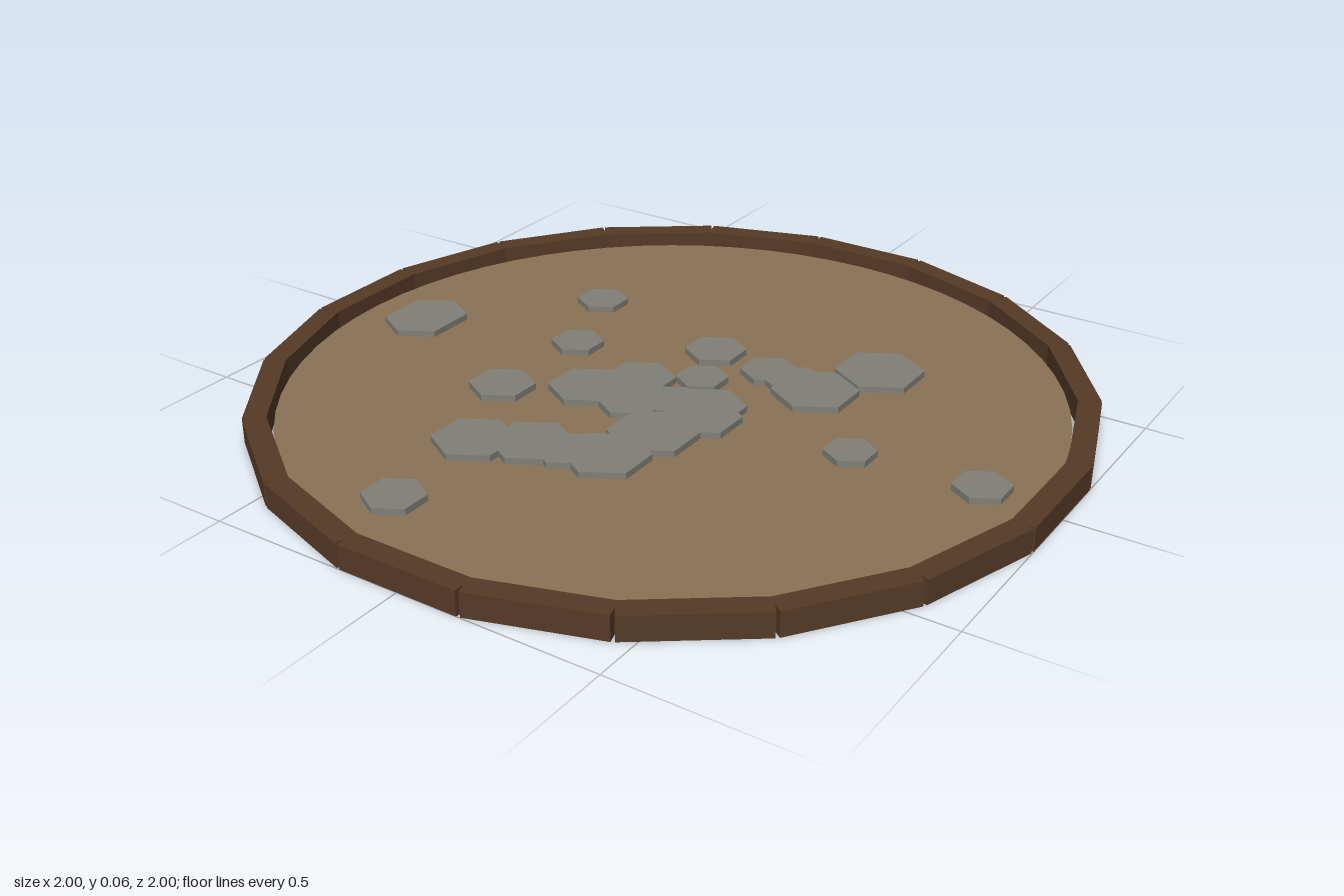
import * as THREE from 'three';

const material = (color) => {
  const m = new THREE.MeshStandardMaterial({ flatShading: true });
  m.color.set(color);
  return m;
};

export function createModel() {
  const model = new THREE.Group();
  model.name = 'stoneArena';
  const wood = material(0x553a26);
  const earth = material(0x8b7355);
  const rock = material(0x808078);

  // Round earth floor
  const floor = new THREE.Mesh(new THREE.CylinderGeometry(0.944, 0.944, 0.023, 64), earth);
  floor.name = 'floor';
  floor.position.y = 0.0125;
  model.add(floor);

  // Rim of straight planks set around the floor
  const rim = new THREE.Group();
  rim.name = 'rim';
  const count = 20;
  const plankShape = new THREE.BoxGeometry(0.308, 0.06, 0.055);
  for (let i = 0; i < count; i++) {
    const angle = (i / count) * Math.PI * 2;
    const plank = new THREE.Mesh(plankShape, wood);
    plank.name = 'rimPlank';
    plank.position.set(Math.sin(angle) * 0.9725, 0.03, Math.cos(angle) * 0.9725);
    plank.rotation.y = angle;
    rim.add(plank);
  }
  model.add(rim);

  // Hexagonal paving stones: x, z, radius
  const stones = [
    [-0.45, -0.34, 0.067], [-0.03, -0.24, 0.077], [0.37, -0.36, 0.11],
    [0.14, -0.215, 0.071], [0.22, -0.2, 0.075], [0.29, -0.18, 0.107],
    [-0.35, -0.09, 0.067], [0.025, -0.09, 0.065],
    [-0.77, -0.01, 0.096], [-0.77, 0.025, 0.096],
    [0.505, 0.04, 0.062], [0.82, 0.02, 0.068],
    [-0.36, 0.205, 0.082], [-0.22, 0.755, 0.074],
    [-0.18, 0.1, 0.097], [-0.1, -0.005, 0.088], [-0.05, 0.1, 0.09],
    [0.03, 0.05, 0.07], [0.12, 0.03, 0.092], [0.135, 0.085, 0.097],
    [0.085, 0.21, 0.109], [0.055, 0.355, 0.105], [-0.03, 0.385, 0.08],
    [-0.12, 0.4, 0.1], [-0.24, 0.46, 0.1],
  ];
  const paving = new THREE.Group();
  paving.name = 'pavingStones';
  for (const [x, z, r] of stones) {
    const stone = new THREE.Mesh(new THREE.CylinderGeometry(r, r, 0.022, 6), rock);
    stone.name = 'pavingStone';
    stone.position.set(x, 0.029, z);
    paving.add(stone);
  }
  model.add(paving);

  return model;
}
